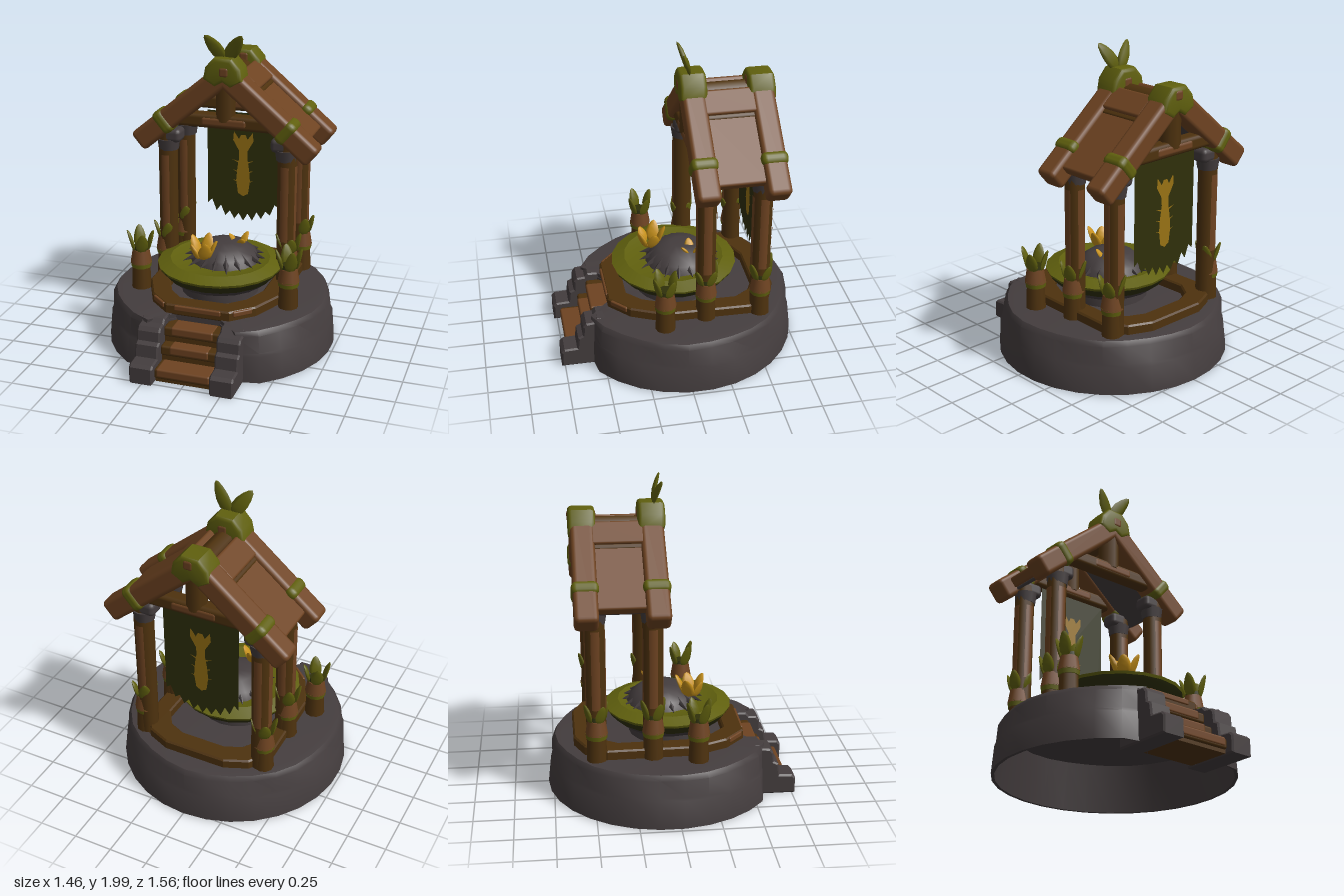
import * as THREE from 'three';
import { RoundedBoxGeometry } from 'three/addons/geometries/RoundedBoxGeometry.js';
import { toCreasedNormals } from 'three/addons/utils/BufferGeometryUtils.js';

const material = (name, color, both) => {
  const m = new THREE.MeshStandardMaterial({ color });
  m.name = name;
  if (both) m.side = THREE.DoubleSide;
  return m;
};

export function createModel() {
  const model = new THREE.Group();
  model.name = 'shrine';
  const stone = material('stone', 0x443d3e, true);
  const wood = material('wood', 0x6e4321);
  const darkWood = material('dark wood', 0x4e320e);
  const moss = material('moss', 0x60600e, true);
  const cloth = material('dark green', 0x2f300a, true);
  const emblemGold = material('ochre', 0x987214, true);
  const gold = material('gold', 0xc8921a, true);

  const add = (name, geo, mat, x = 0, y = 0, z = 0, parent = model) => {
    const mesh = new THREE.Mesh(geo, mat);
    mesh.name = name;
    mesh.position.set(x, y, z);
    parent.add(mesh);
    return mesh;
  };
  const block = (w, h, d, r = 0.015) => new RoundedBoxGeometry(w, h, d, 2, r);
  const lathe = (pts, n) => toCreasedNormals(
    new THREE.LatheGeometry(pts.map(p => new THREE.Vector2(...p)), n), 0.6);
  const shape = pts => new THREE.Shape(pts.map(p => new THREE.Vector2(...p)));
  let seed = 7;
  const rand = () => (seed = (seed * 16807) % 2147483647) / 2147483647;

  // Thin pointed leaf growing from its own origin
  const leafGeo = (w, h) => {
    const g = new THREE.SphereGeometry(1, 6, 6);
    const p = g.attributes.position;
    for (let i = 0; i < p.count; i++) {
      const t = (p.getY(i) + 1) / 2;
      p.setXYZ(i, p.getX(i) * w * (1.1 - 0.5 * t), t * h, p.getZ(i) * w * 0.3 + t * t * h * 0.15);
    }
    g.computeVertexNormals();
    return g;
  };
  const leafRing = (name, n, r, w, h, tilt, mat, x, y, z) => {
    const ring = new THREE.Group();
    ring.name = name;
    ring.position.set(x, y, z);
    for (let i = 0; i < n; i++) {
      const a = (i / n) * Math.PI * 2 + 0.5;
      const leaf = add('leaf', leafGeo(w, h * (0.85 + 0.3 * rand())), mat,
        Math.sin(a) * r, 0, Math.cos(a) * r, ring);
      leaf.rotation.set(tilt, a, 0, 'YXZ');
    }
    model.add(ring);
  };

  // Hollow round stone base, uneven, with a notch at the front for the steps
  const baseGeo = new THREE.LatheGeometry([[0, 0.3], [0.66, 0.3], [0.715, 0], [0.735, 0], [0.72, 0.17],
    [0.71, 0.19], [0.7, 0.3], [0.68, 0.33], [0.64, 0.335], [0, 0.335]].map(p => new THREE.Vector2(...p)), 30);
  const bp = baseGeo.attributes.position;
  for (let i = 0; i < bp.count; i++) {
    const x = bp.getX(i), y = bp.getY(i), z = bp.getZ(i);
    const k = 1 + 0.008 * Math.sin(Math.atan2(x, z) * 7 + y * 14) * (y > 0.1 ? 1 : 0);
    bp.setXYZ(i, x * k, y, Math.min(z * k, Math.abs(x) < 0.2 ? 0.48 : 0.62));
  }
  add('stoneBase', toCreasedNormals(baseGeo, 0.6), stone, 0, 0, -0.05);

  // Front steps between stepped stone cheeks, worn lighter in the middle
  [[0.73, 0.09, 0.34], [0.615, 0.19, 0.25], [0.555, 0.29, 0.27]].forEach(([front, top, worn]) => {
    add('stepRiser', new THREE.BoxGeometry(0.36, top - 0.04, front - 0.45), darkWood,
      0, (top - 0.04) / 2, (front + 0.41) / 2);
    add('stepTread', block(0.37, 0.065, front - 0.425), darkWood, 0, top - 0.0355, (front + 0.415) / 2);
    add('stepWear', block(worn, 0.055, front - 0.43, 0.012), wood, 0, top - 0.0275, (front + 0.43) / 2);
  });
  const cheekGeo = new THREE.ExtrudeGeometry(shape([[0.4, 0], [0.76, 0], [0.76, 0.09], [0.745, 0.105],
    [0.66, 0.11], [0.65, 0.19], [0.62, 0.205], [0.615, 0.27], [0.6, 0.29], [0.55, 0.295], [0.53, 0.32], [0.4, 0.32]]),
    { depth: 0.13, bevelEnabled: true, bevelSize: 0.01, bevelThickness: 0.01, bevelSegments: 1 });
  cheekGeo.rotateY(-Math.PI / 2);
  for (const x of [-0.19, 0.32]) add('stairCheek', cheekGeo, stone, x, 0.005, 0);

  // Wooden deck ring with lighter boards on its front edges
  const half = [[0.2, 0.44], [0.33, 0.32], [0.42, 0.12], [0.43, -0.42], [0.34, -0.55], [0.2, -0.61]];
  const outline = [...half, ...half.map(([x, z]) => [-x, z]).reverse()].map(([x, z]) => [x, -z]);
  const deckShape = shape(outline);
  deckShape.holes.push(shape(outline.map(([x, y]) => [x * 0.76, (y - 0.08) * 0.8 + 0.08])));
  const deckGeo = new THREE.ExtrudeGeometry(deckShape,
    { depth: 0.05, bevelEnabled: true, bevelSize: 0.01, bevelThickness: 0.01, bevelSegments: 1 });
  deckGeo.rotateX(-Math.PI / 2);
  add('deck', deckGeo, darkWood, 0, 0.335, 0);
  add('deckFrontBoard', block(0.3, 0.035, 0.02, 0.008), wood, 0, 0.375, 0.447);
  for (const s of [-1, 1]) {
    const board = add('deckSideBoard', block(0.13, 0.035, 0.02, 0.008), wood, s * 0.27, 0.375, 0.387);
    board.rotation.y = s * 0.745;
  }

  // Wide bowl: stone underside, dark side, mossy rim and top
  add('bowlFoot', lathe([[0.25, 0.33], [0.25, 0.4], [0.3, 0.41], [0.35, 0.45]], 20), stone, 0, 0, -0.01);
  add('bowlSide', lathe([[0.35, 0.45], [0.385, 0.49], [0.395, 0.505]], 20), cloth, 0, 0, -0.01);
  add('bowlTop', lathe([[0.395, 0.505], [0.402, 0.522], [0.32, 0.552], [0.24, 0.53], [0, 0.53]], 20),
    moss, 0, 0, -0.01);

  // Ash mound with ragged spikes and golden flames
  add('ashMound', lathe([[0.23, 0.52], [0.2, 0.58], [0.14, 0.63], [0.06, 0.65], [0, 0.64]], 14), stone, 0.02, 0, -0.05);
  for (let i = 0; i < 18; i++) {
    const a = (i / 18) * Math.PI * 2;
    const spike = add('ashSpike', new THREE.ConeGeometry(0.04, 0.14 + 0.06 * rand(), 4), stone,
      0.02 + Math.sin(a) * 0.19, 0.565, -0.04 + Math.cos(a) * 0.19);
    spike.rotation.set(1.9, a, 0, 'YXZ');
  }
  leafRing('frontFlame', 5, 0.04, 0.05, 0.13, 0.25, gold, -0.07, 0.59, 0.13);
  leafRing('smallFlame', 3, 0.02, 0.035, 0.08, 0.5, gold, 0.1, 0.61, -0.1);

  // Leafy stump used for the short posts and the pillar feet
  const stump = (x, z) => {
    add('stumpFoot', new THREE.CylinderGeometry(0.056, 0.064, 0.17, 10), darkWood, x, 0.415, z);
    add('stumpBand', new THREE.CylinderGeometry(0.068, 0.064, 0.035, 10), moss, x, 0.495, z);
    add('stumpTop', new THREE.CylinderGeometry(0.054, 0.069, 0.09, 10), wood, x, 0.55, z);
    add('stumpHeart', new THREE.CylinderGeometry(0.045, 0.05, 0.03, 8), cloth, x, 0.605, z);
    leafRing('stumpLeaves', 4, 0.046, 0.045, 0.135, 0.12, moss, x, 0.585, z);
  };

  const slope = 0.7, apex = 1.73, frontZ = -0.115, backZ = -0.535;
  for (const s of [-1, 1]) {
    stump(s * 0.49, 0.13);
    for (const z of [-0.14, -0.485]) {
      stump(s * 0.415, z);
      add('pillar', new THREE.CylinderGeometry(0.062, 0.06, 0.98, 12), darkWood, s * 0.395, 0.825, z);
      for (const turn of [0, s * Math.PI / 2, Math.PI])
        add('pillarFace', new THREE.CylinderGeometry(0.064, 0.063, 0.5, 6, 1, true, turn - 0.42, 0.84),
          wood, s * 0.395, 0.92, z);
      add('pillarCollar', new THREE.CylinderGeometry(0.074, 0.064, 0.07, 10), stone, s * 0.39, 1.235, z);
      add('pillarBracket', block(0.12, 0.09, 0.12, 0.03), stone, s * 0.355, 1.3, z);
    }

    // One slope of the roof; local x runs down the slope
    const side = new THREE.Group();
    side.name = s > 0 ? 'leftRoof' : 'rightRoof';
    side.position.y = apex;
    side.rotation.z = -s * slope;
    model.add(side);
    for (const z of [frontZ, backZ]) {
      add('rafter', block(0.76, 0.14, 0.145, 0.03), wood, s * 0.37, 0, z, side);
      add('rafterWrap', block(0.085, 0.16, 0.165, 0.035), moss, s * 0.52, 0.003, z, side);
    }
    add('roofPanel', block(0.44, 0.07, 0.32), wood, s * 0.44, 0.005, -0.325, side);
    add('upperRoofPanel', block(0.16, 0.08, 0.32), wood, s * 0.135, 0.025, -0.325, side);
    add('panelSeam', block(0.04, 0.075, 0.3), darkWood, s * 0.225, 0.008, -0.325, side);
    add('roofLining', block(0.5, 0.02, 0.3, 0.008), stone, s * 0.4, -0.04, -0.325, side);
  }

  // Ridge pole, gable ties, king posts and apex wraps
  const ridge = add('ridgePole', new THREE.CylinderGeometry(0.07, 0.07, 0.5, 8), darkWood, 0, 1.68, -0.325);
  ridge.rotation.x = Math.PI / 2;
  for (const z of [frontZ, backZ]) {
    add('tieBeam', block(0.78, 0.09, 0.1, 0.025), darkWood, 0, 1.425, z);
    add('tieBeamFace', block(0.3, 0.06, 0.11, 0.02), wood, 0, 1.425, z);
    for (const s of [-1, 1]) add('tieWrap', block(0.08, 0.1, 0.12, 0.03), moss, s * 0.34, 1.425, z);
    add('kingPost', new THREE.CylinderGeometry(0.065, 0.065, 0.28, 8), darkWood, 0, 1.57, z);
    const wrap = new THREE.ExtrudeGeometry(shape([[-0.1, 1.7], [-0.05, 1.67], [0, 1.7], [0.05, 1.67],
      [0.1, 1.7], [0.09, 1.75], [0.045, 1.8], [-0.045, 1.8], [-0.09, 1.75]]),
      { depth: 0.115, bevelEnabled: true, bevelSize: 0.025, bevelThickness: 0.025, bevelSegments: 3 });
    add('apexWrap', toCreasedNormals(wrap, 0.8), moss, 0, z === frontZ ? 0.015 : -0.02, z - 0.0575);
    add('apexKnot', block(0.07, 0.07, 0.174, 0.02), wood, 0.01, 1.755, z);
  }

  // Leaf sprout on the front apex
  for (const [s, h] of [[1, 0.2], [-1, 0.19]]) {
    const leaf = add('sproutLeaf', leafGeo(0.052, h), moss, s * 0.01, 1.825, -0.1);
    leaf.rotation.set(0.12, 0, -s * 0.6);
  }

  // Tattered banner with an emblem on each face
  const hem = [];
  for (let i = 0; i <= 16; i++) {
    const x = 0.25 - i * 0.03125;
    hem.push([x, 0.62 + 1.8 * x * x + (i % 2 ? 0.05 : 0) - 0.02 * rand()]);
  }
  add('banner', new THREE.ShapeGeometry(shape([[-0.25, 1.37], [0.25, 1.37], ...hem])), cloth, 0, 0, -0.5);
  const contour = [[0, 0.79], [0.035, 0.81], [0.048, 0.9], [0.04, 0.99], [0.028, 1.06], [0.03, 1.11],
    [0.07, 1.18], [0.065, 1.24], [0.03, 1.19], [0.015, 1.22]];
  const emblem = new THREE.ShapeGeometry(shape([...contour,
    ...contour.slice(1).reverse().map(([x, y]) => [-x, y])]));
  for (const z of [-0.494, -0.506]) {
    add('emblem', emblem, emblemGold, 0, 0, z);
    for (const s of [-1, 1]) for (const y of [0.88, 0.95, 1.02]) {
      const barb = shape([[0, y - 0.012], [s * 0.075, y + 0.025], [0, y + 0.008]]);
      add('emblemBarb', new THREE.ShapeGeometry(barb), emblemGold, 0, 0, z);
    }
  }
  return model;
}
